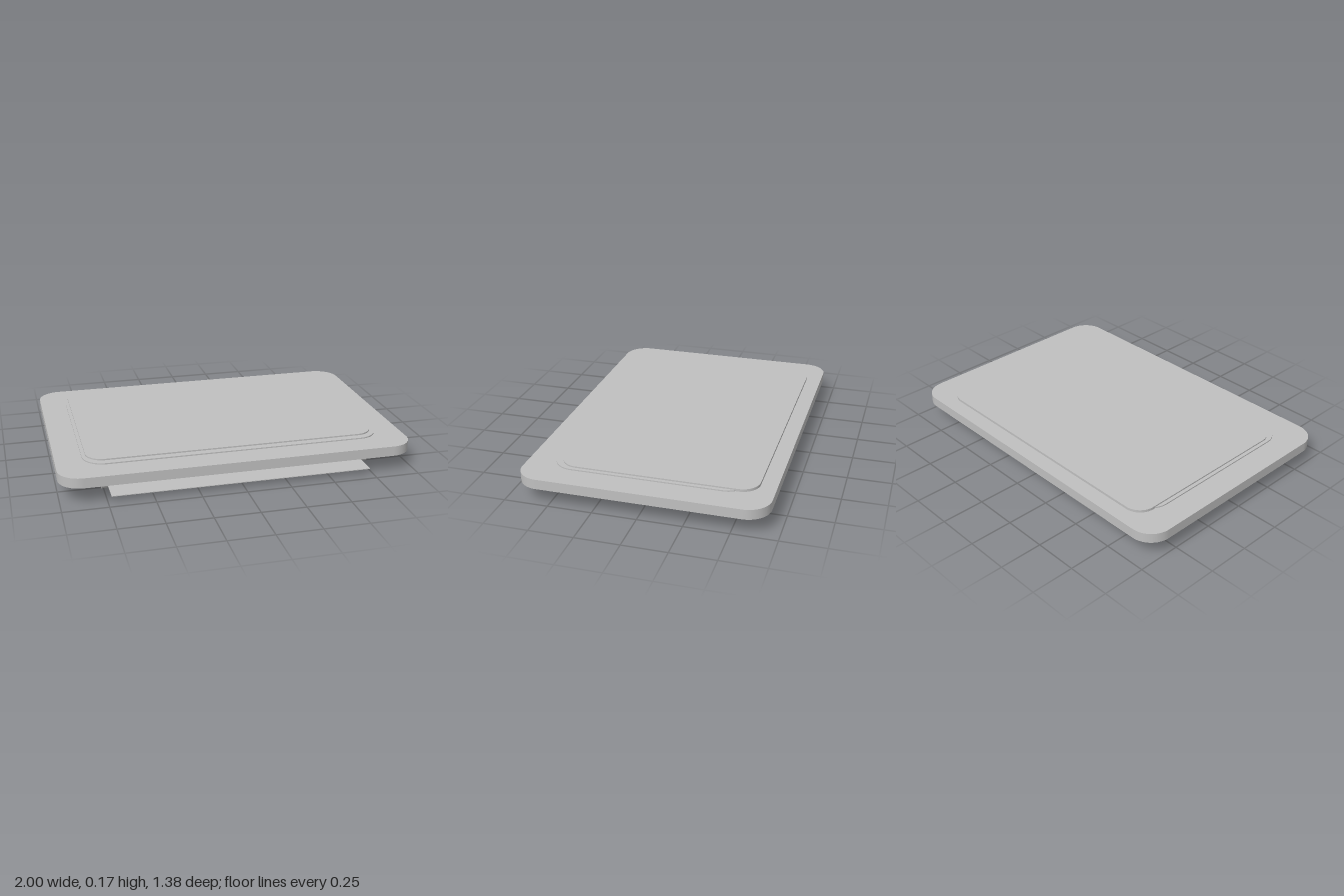
import * as THREE from 'three';

const grey = new THREE.MeshStandardMaterial({ color: 0xc0c0c0 });
grey.name = 'plain grey';

// Horizontal plate with rounded corners
function plate(name, hx, z0, z1, y0, y1, r) {
  const s = new THREE.Shape();
  const a = -z1, b = -z0;
  s.moveTo(-hx + r, a);
  s.lineTo(hx - r, a);
  s.absarc(hx - r, a + r, r, -Math.PI / 2, 0, false);
  s.lineTo(hx, b - r);
  s.absarc(hx - r, b - r, r, 0, Math.PI / 2, false);
  s.lineTo(-hx + r, b);
  s.absarc(-hx + r, b - r, r, Math.PI / 2, Math.PI, false);
  s.lineTo(-hx, a + r);
  s.absarc(-hx + r, a + r, r, Math.PI, Math.PI * 1.5, false);
  const g = new THREE.ExtrudeGeometry(s, { depth: y1 - y0, bevelEnabled: false, curveSegments: 16 });
  g.rotateX(-Math.PI / 2);
  g.translate(0, y0, 0);
  const m = new THREE.Mesh(g, grey);
  m.name = name;
  return m;
}

// Box given by its limits on each axis
function box(name, x0, x1, y0, y1, z0, z1) {
  const m = new THREE.Mesh(new THREE.BoxGeometry(x1 - x0, y1 - y0, z1 - z0), grey);
  m.position.set((x0 + x1) / 2, (y0 + y1) / 2, (z0 + z1) / 2);
  m.name = name;
  return m;
}

export function createModel() {
  const model = new THREE.Group();
  model.name = 'trayTable';

  // Slab with two thin raised panels
  model.add(plate('slab', 1, -0.69, 0.69, 0.095, 0.152, 0.13));
  model.add(plate('lowerPanel', 0.85, -0.54, 0.54, 0.152, 0.159, 0.12));
  model.add(plate('upperPanel', 0.83, -0.6, 0.5, 0.152, 0.167, 0.1));

  // Back rail
  model.add(box('backRail', -0.85, 0.85, 0.062, 0.095, -0.56, -0.5));

  // Side rails, corner blocks and rod brackets, mirrored
  for (const side of [-1, 1]) {
    const part = (name, x0, x1, ...rest) =>
      model.add(box(name, Math.min(side * x0, side * x1), Math.max(side * x0, side * x1), ...rest));
    part('sideRail', 0.785, 0.84, 0.058, 0.095, -0.49, 0.47);
    part('backCorner', 0.785, 0.85, 0.062, 0.095, -0.5, -0.455);
    part('frontCorner', 0.825, 0.85, 0.065, 0.095, 0.48, 0.59);
    part('cornerTab', 0.785, 0.85, 0.086, 0.095, 0.42, 0.59);
    part('rodBracket', 0.765, 0.825, 0.04, 0.095, 0.48, 0.57);
  }

  // Front rod
  const rod = new THREE.Mesh(new THREE.CylinderGeometry(0.035, 0.035, 1.53, 32), grey);
  rod.name = 'frontRod';
  rod.rotation.z = Math.PI / 2;
  rod.position.set(0, 0.045, 0.525);
  model.add(rod);

  // Thin sliding sheet with a stepped lip at its back edge
  model.add(box('slidingSheet', -0.73, 0.73, 0.029, 0.033, -0.21, 0.69));
  model.add(box('sheetLip', -0.73, 0.73, 0.011, 0.03, -0.21, -0.18));
  model.add(box('lipFoot', -0.715, 0.715, 0, 0.011, -0.22, -0.205));

  return model;
}
